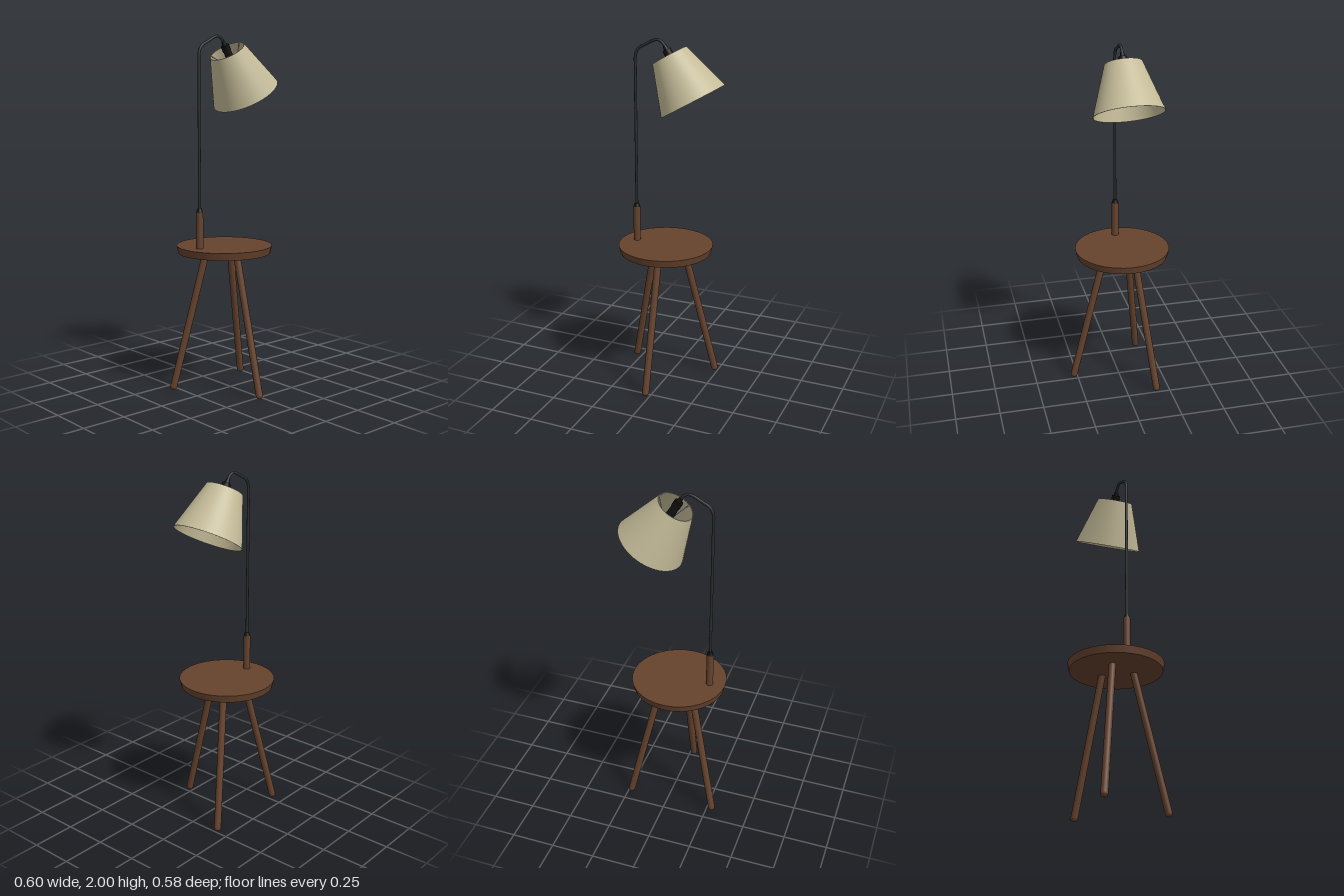
import * as THREE from 'three';
import { mergeGeometries } from 'three/addons/utils/BufferGeometryUtils.js';

const V = (x, y, z = 0) => new THREE.Vector3(x, y, z);
const mat = (name, color) => {
  const m = new THREE.MeshStandardMaterial({ color });
  m.name = name;
  return m;
};

export function createModel() {
  const wood = mat('walnut wood', 0x65422d);
  const metal = mat('dark metal', 0x2b2d2e);
  const black = mat('black plastic', 0x121212);
  const linen = mat('linen', 0xc4bb98);
  const glass = mat('white glass', 0xe6e6e8);
  const steel = mat('steel wire', 0xb4b4ba);

  const model = new THREE.Group();
  // Everything is laid out around the centre plane z = -0.025
  const body = new THREE.Group();
  body.name = 'floorLamp';
  body.position.z = -0.025;
  model.add(body);

  const add = (parent, name, geometry, material, x = 0, y = 0, z = 0) => {
    const mesh = new THREE.Mesh(geometry, material);
    mesh.name = name;
    mesh.position.set(x, y, z);
    parent.add(mesh);
    return mesh;
  };
  // Lay a mesh that runs along y between two points
  const span = (mesh, a, b) => {
    mesh.position.copy(a).add(b).multiplyScalar(0.5);
    mesh.quaternion.setFromUnitVectors(V(0, 1), b.clone().sub(a).normalize());
  };
  const cyl = (top, bottom, height, sides = 24) => new THREE.CylinderGeometry(top, bottom, height, sides);

  // Table top with a slightly undercut edge
  const cx = -0.025;
  add(body, 'tableTop', cyl(0.27, 0.26, 0.042, 32), wood, cx, 0.811);

  // Three splayed legs with rounded feet
  for (let i = 0; i < 3; i++) {
    const a = Math.PI / 2 + (i * Math.PI * 2) / 3;
    const at = (r, y) => V(cx + r * Math.cos(a), y, r * Math.sin(a));
    const foot = at(0.295, 0.02), top = at(0.105, 0.79);
    const leg = add(body, 'leg', new THREE.CapsuleGeometry(0.02, foot.distanceTo(top), 6, 20), wood);
    span(leg, foot, top);
  }

  // Wooden post, cap and thin pole
  const px = -0.205;
  add(body, 'post', cyl(0.02, 0.02, 0.205), wood, px, 0.9325);
  add(body, 'postCap', cyl(0.012, 0.019, 0.02), black, px, 1.045);
  add(body, 'pole', cyl(0.008, 0.008, 0.84, 12), metal, px, 1.46);

  // Bent arm from the pole to the lamp holder
  const path = new THREE.CurvePath();
  path.add(new THREE.QuadraticBezierCurve3(V(px, 1.88), V(px, 1.933), V(-0.165, 1.952)));
  path.add(new THREE.LineCurve3(V(-0.165, 1.952), V(-0.125, 1.972)));
  path.add(new THREE.CubicBezierCurve3(V(-0.125, 1.972), V(-0.08, 2), V(-0.055, 2), V(-0.03, 1.96)));
  add(body, 'arm', new THREE.TubeGeometry(path, 40, 0.008, 12), metal);

  // Tilted head: origin at the centre of the shade's upper opening
  const head = new THREE.Group();
  head.name = 'lampHead';
  head.position.set(-0.003, 1.913, 0);
  head.rotation.z = Math.PI / 6;
  body.add(head);

  // Shade: outer wall, upper rim, inner wall and lower rim as separate sharp-edged bands
  const outline = [[0.194, -0.275], [0.102, 0], [0.098, 0], [0.19, -0.275], [0.194, -0.275]]
    .map(([x, y]) => new THREE.Vector2(x, y));
  const bands = [0, 1, 2, 3].map(i => new THREE.LatheGeometry([outline[i], outline[i + 1]], 48));
  add(head, 'shade', mergeGeometries(bands), linen);

  // Lamp holder
  add(head, 'cableGrip', cyl(0.01, 0.015, 0.025), black, 0, -0.0 + 0.046);
  add(head, 'holderCollar', cyl(0.024, 0.024, 0.035), black, 0, 0.017);
  add(head, 'holder', cyl(0.021, 0.025, 0.1), black, 0, -0.05);

  // Bulb with a short neck
  add(head, 'bulbNeck', cyl(0.016, 0.024, 0.03), glass, 0, -0.105);
  add(head, 'bulb', new THREE.SphereGeometry(0.035, 24, 16), glass, 0, -0.13);

  // Wire spokes from the upper rim down to a ring on the holder
  const ring = add(head, 'shadeRing', new THREE.TorusGeometry(0.026, 0.003, 8, 24), steel, 0, -0.09);
  ring.rotation.x = Math.PI / 2;
  for (let i = 0; i < 3; i++) {
    const a = (i * Math.PI * 2) / 3;
    const at = (r, y) => V(r * Math.cos(a), y, r * Math.sin(a));
    const from = at(0.026, -0.09), to = at(0.1, -0.004);
    const spoke = add(head, 'shadeSpoke', cyl(0.0025, 0.0025, from.distanceTo(to), 8), steel);
    span(spoke, from, to);
  }

  return model;
}
